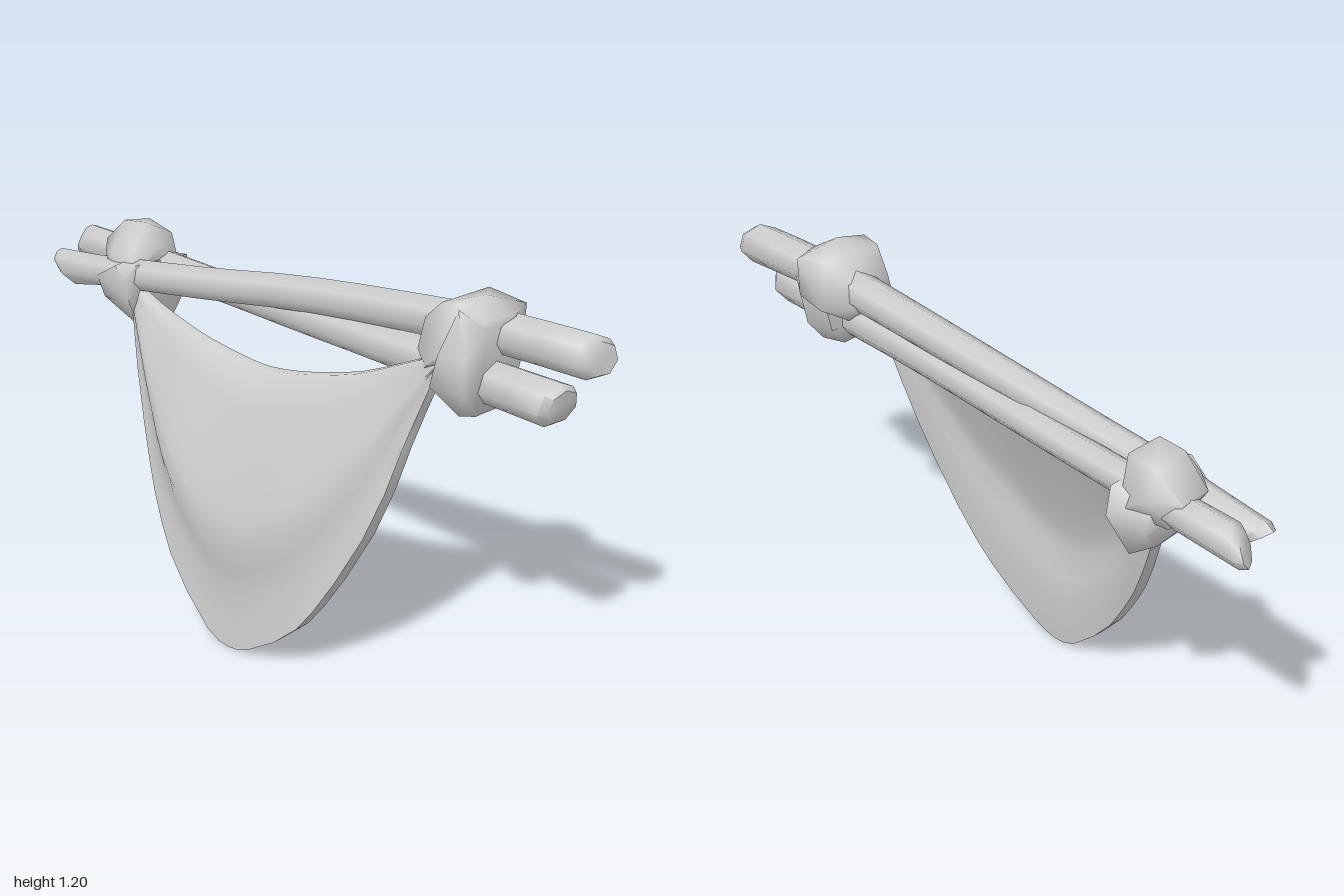
import * as THREE from 'three';
import { toCreasedNormals } from 'three/addons/utils/BufferGeometryUtils.js';
import { ConvexGeometry } from 'three/addons/geometries/ConvexGeometry.js';

const vec = (p) => new THREE.Vector3(p[0], p[1], p[2]);

// Skin closed loops running along +x, with fan caps on both ends.
function loft(rings, crease) {
  const n = rings[0].length, last = rings.length - 1;
  const verts = rings.flat();
  const index = [];
  for (let i = 0; i < last; i++) {
    for (let j = 0; j < n; j++) {
      const k = (j + 1) % n;
      const a = i * n + j, b = i * n + k, c = a + n, d = b + n;
      index.push(a, b, d, a, d, c);
    }
  }
  for (const i of [0, last]) {
    const mid = new THREE.Vector3();
    rings[i].forEach((p) => mid.addScaledVector(p, 1 / n));
    const m = verts.push(mid) - 1;
    for (let j = 0; j < n; j++) {
      const a = i * n + j, b = i * n + (j + 1) % n;
      if (i === 0) index.push(m, b, a);
      else index.push(m, a, b);
    }
  }
  const geo = new THREE.BufferGeometry().setFromPoints(verts);
  geo.setIndex(index);
  return toCreasedNormals(geo, crease);
}

// Stick: stations are [x, y, z, radius]; the bevelled ends are cut at a slant [by y, by z].
function stick(stations, cutStart, cutEnd) {
  const path = new THREE.CatmullRomCurve3(stations.map(vec));
  const sides = 7, inner = 13;
  const times = [0, 0.012];
  for (let i = 1; i < inner; i++) times.push(i / inner);
  times.push(0.988, 1);
  const rings = times.map((t) => {
    const p = path.getPoint(t);
    const s = t * (stations.length - 1), k = Math.min(Math.floor(s), stations.length - 2);
    const bevel = t === 0 || t === 1 ? 0.78 : 1.04;
    const r = THREE.MathUtils.lerp(stations[k][3], stations[k + 1][3], s - k) * bevel;
    const cut = t < 0.02 ? cutStart : t > 0.98 ? cutEnd : [0, 0];
    return Array.from({ length: sides }, (_, j) => {
      const a = (j / sides) * Math.PI * 2, c = Math.cos(a), d = Math.sin(a);
      return new THREE.Vector3(p.x + cut[0] * c + cut[1] * d, p.y + r * c, p.z + r * d);
    });
  });
  return loft(rings, 1.0);
}

// Cloth: hangs between a sagging top edge and a deep lower hem, bellied forward.
function cloth() {
  const top = new THREE.CatmullRomCurve3([
    [-0.61, 0.92, -0.01], [-0.5, 0.88, -0.005], [-0.38, 0.86, 0.01], [-0.3, 0.85, 0.02],
    [-0.2, 0.842, 0.028], [-0.08, 0.835, 0.032], [0, 0.837, 0.033], [0.1, 0.855, 0.033],
    [0.2, 0.88, 0.027], [0.32, 0.915, 0.012], [0.45, 0.975, -0.003], [0.58, 1.04, -0.01],
  ].map(vec));
  const hem = new THREE.CatmullRomCurve3([
    [-0.6, 0.85, -0.01], [-0.54, 0.7, 0.03], [-0.43, 0.46, 0.09], [-0.34, 0.32, 0.135],
    [-0.24, 0.18, 0.168], [-0.07, 0.02, 0.187], [0, 0.002, 0.188], [0.07, 0.02, 0.187],
    [0.24, 0.14, 0.17], [0.33, 0.27, 0.14], [0.46, 0.54, 0.085], [0.515, 0.78, 0.022],
    [0.58, 0.98, -0.01],
  ].map(vec));
  const rows = [0, 0.14, 0.28, 0.4, 0.5, 0.6, 0.7, 0.8, 0.9, 1];
  const belly = [0, 0.026, 0.05, 0.066, 0.077, 0.075, 0.038, 0.02, 0.008, 0];
  const cols = 22, rings = [];
  for (let i = 0; i <= cols; i++) {
    const u = i / cols, a = top.getPoint(u), b = hem.getPoint(u);
    const w = Math.sin(Math.PI * u), flank = Math.sin(2 * Math.PI * u) ** 2;
    const side = (sign) => rows.map((v, j) => {
      const p = a.clone().lerp(b, v);
      p.z += belly[j] * w + sign * (0.014 + 0.005 * v + 0.007 * flank * v ** 4);
      return p;
    });
    rings.push([...side(1), ...side(-1).reverse()]);
  }
  return loft(rings, 1.3);
}

// Knot lump: a hull around a few corner points, softly shaded.
const lump = (points) => toCreasedNormals(new ConvexGeometry(points.map(vec)), 1.4);

export function createModel() {
  const group = new THREE.Group();
  const grey = new THREE.MeshStandardMaterial({ color: 0xcccccc });
  grey.name = 'light grey';
  const add = (name, geometry) => {
    const mesh = new THREE.Mesh(geometry, grey);
    mesh.name = name;
    group.add(mesh);
  };

  // Two crossing sticks
  add('frontStick', stick([
    [-0.91, 0.895, 0.0, 0.046], [-0.6, 0.945, -0.015, 0.046], [-0.3, 0.987, -0.045, 0.047],
    [0, 1.033, -0.08, 0.05], [0.32, 1.07, -0.105, 0.053], [0.66, 1.1, -0.128, 0.057],
    [0.985, 1.103, -0.155, 0.06],
  ], [-0.045, 0], [-0.005, -0.015]));
  add('backStick', stick([
    [-0.97, 0.94, -0.12, 0.052], [-0.6, 0.95, -0.118, 0.046], [-0.3, 0.953, -0.112, 0.044],
    [0, 0.96, -0.1, 0.047], [0.32, 0.972, -0.09, 0.054], [0.64, 0.975, -0.085, 0.058],
    [0.925, 0.976, -0.083, 0.062],
  ], [0.02, 0.025], [0.01, -0.01]));

  // Hanging cloth
  add('cloth', cloth());

  // Knot on the model's left: a top roll and a band wrapped below it
  add('leftKnotRoll', lump([
    [0.51, 1.12, -0.03], [0.495, 1.03, -0.02], [0.495, 1.06, -0.17], [0.52, 1.13, -0.16],
    [0.58, 1.185, -0.01], [0.59, 1.18, -0.19], [0.66, 1.205, -0.09], [0.735, 1.16, -0.12],
    [0.7, 1.16, -0.21], [0.69, 1.05, -0.215], [0.6, 1.03, -0.21], [0.71, 1.16, -0.03],
    [0.6, 1.05, 0.03], [0.55, 1.0, 0.015], [0.68, 1.07, 0.0], [0.56, 0.99, -0.14],
    [0.64, 1.195, -0.01],
  ]));
  add('leftKnotBand', lump([
    [0.64, 1.18, -0.005], [0.72, 1.14, -0.03], [0.61, 1.06, 0.037], [0.69, 1.06, 0.025],
    [0.58, 0.96, 0.03], [0.69, 0.97, 0.03], [0.585, 0.92, -0.01], [0.65, 0.885, -0.01],
    [0.69, 0.89, -0.03], [0.69, 0.885, -0.14], [0.6, 0.9, -0.13], [0.695, 0.95, -0.19],
    [0.59, 0.96, -0.18], [0.71, 1.1, -0.21], [0.62, 1.12, -0.2],
  ]));

  // Knot on the model's right
  add('rightKnotRoll', lump([
    [-0.785, 1.0, -0.06], [-0.785, 0.99, -0.15], [-0.7, 1.08, -0.06], [-0.7, 1.06, -0.16],
    [-0.62, 1.09, -0.07], [-0.58, 1.05, -0.14], [-0.555, 1.03, -0.07], [-0.6, 1.02, 0.0],
    [-0.7, 0.99, 0.005], [-0.73, 0.94, 0.0], [-0.6, 0.93, 0.02], [-0.74, 0.9, -0.15],
    [-0.6, 0.91, -0.19], [-0.7, 0.98, -0.195],
  ]));
  add('rightKnotBand', lump([
    [-0.565, 0.99, 0.02], [-0.62, 0.985, 0.055], [-0.575, 0.95, 0.055], [-0.72, 0.925, 0.04],
    [-0.7, 0.86, 0.03], [-0.57, 0.87, 0.045], [-0.68, 0.825, 0.0], [-0.605, 0.765, -0.03],
    [-0.605, 0.76, -0.15], [-0.69, 0.82, -0.14], [-0.575, 0.89, -0.21], [-0.7, 0.88, -0.19],
    [-0.57, 0.97, -0.19], [-0.7, 0.96, -0.17],
  ]));
  return group;
}
